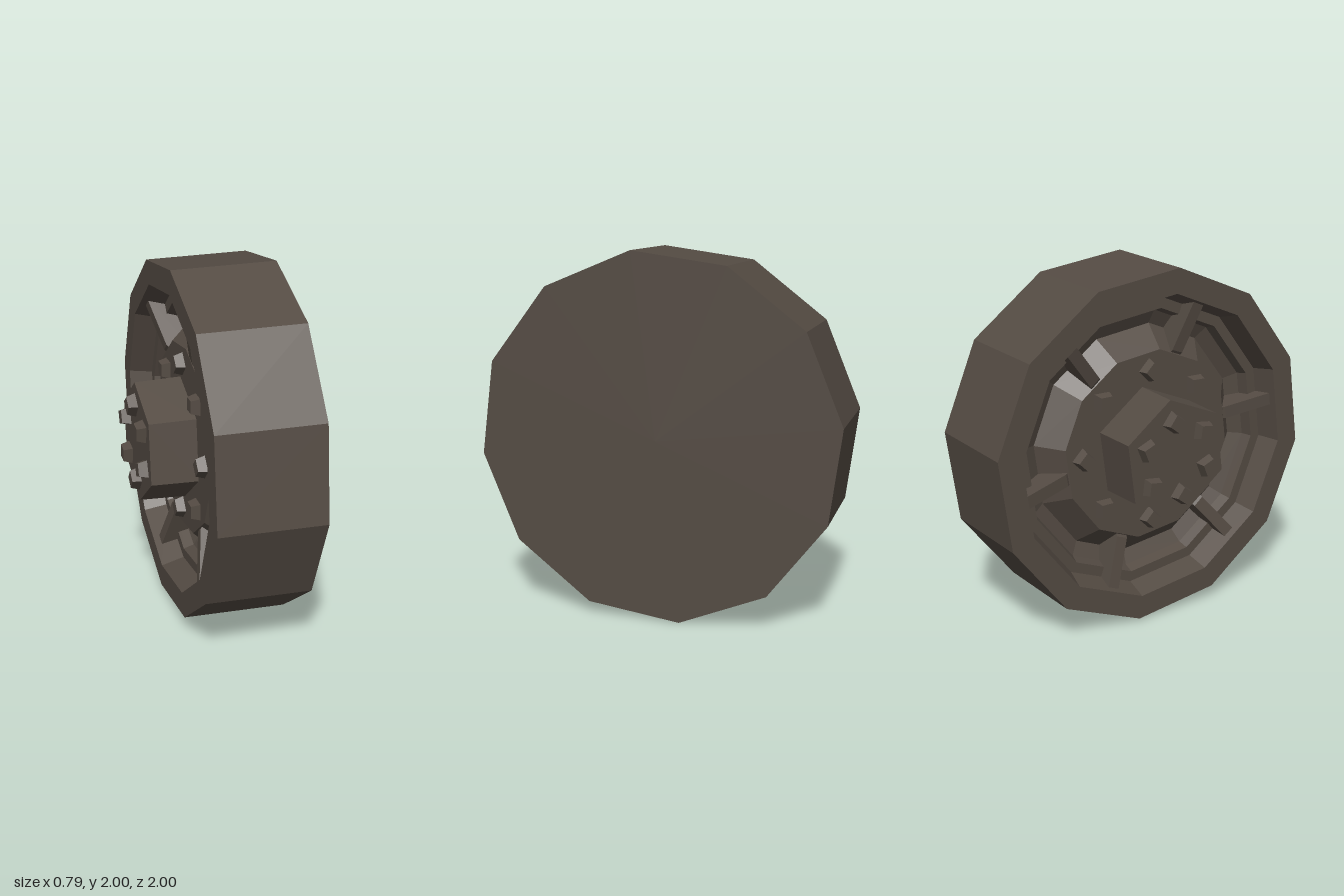
import * as THREE from 'three';

const rad = THREE.MathUtils.degToRad;
const rubber = new THREE.MeshStandardMaterial({ color: 0x544b43 });
rubber.name = 'darkBrown';

// Faceted mesh: every face gets its own normal
function facet(name, geometry) {
  const g = geometry.index ? geometry.toNonIndexed() : geometry;
  g.computeVertexNormals();
  const mesh = new THREE.Mesh(g, rubber);
  mesh.name = name;
  return mesh;
}

// Four-sided tapered stud with a corner on the radial line
function stud(name, angle, radius, base, height) {
  const mesh = facet(name, new THREE.CylinderGeometry(0.05, 0.066, height, 4, 1));
  mesh.position.set(radius * Math.sin(angle), base + height / 2, radius * Math.cos(angle));
  mesh.rotation.y = angle;
  return mesh;
}

export function createModel() {
  const model = new THREE.Group();
  model.name = 'wheel';

  // Built with the axle along +y, then tipped so the hub points to -x
  const wheel = new THREE.Group();
  wheel.name = 'wheelAssembly';
  wheel.rotation.z = Math.PI / 2;
  wheel.position.y = 1;
  model.add(wheel);

  // Tyre, stepped dish and central disc as one twelve-sided profile
  const profile = [
    [0, -0.39], [1.0085, -0.39], [0.998, 0.19], [0.86, 0.19], [0.82, 0.06],
    [0.76, 0.06], [0.74, 0], [0.66, -0.04], [0.54, 0.09], [0, 0.09],
  ].map(([r, y]) => new THREE.Vector2(r, y));
  wheel.add(facet('tyreAndDish', new THREE.LatheGeometry(profile, 12, rad(22.5), Math.PI * 2)));

  // Six-sided hub
  const hub = facet('hub', new THREE.CylinderGeometry(0.336, 0.345, 0.27, 6, 1, false, rad(37.5)));
  hub.position.y = 0.215;
  wheel.add(hub);

  // Bolts on the hub and nuts around the disc
  for (let i = 0; i < 6; i++) wheel.add(stud('hubBolt', rad(37.5 + 60 * i), 0.21, 0.35, 0.05));
  for (let i = 0; i < 8; i++) wheel.add(stud('discNut', rad(45 * i), 0.43, 0.09, 0.05));

  // Six gussets bridging the rim and the disc
  const side = new THREE.Shape();
  side.moveTo(0.52, -0.04);
  side.lineTo(0.84, -0.04);
  side.lineTo(0.85, 0.16);
  side.lineTo(0.54, 0.095);
  side.lineTo(0.52, 0.08);
  const ribGeometry = new THREE.ExtrudeGeometry(side, { depth: 0.07, bevelEnabled: false });
  ribGeometry.translate(0, 0, -0.035);
  for (let i = 0; i < 6; i++) {
    const rib = facet('rib', ribGeometry);
    rib.rotation.y = rad(70 + 60 * i) - Math.PI / 2;
    wheel.add(rib);
  }
  return model;
}
